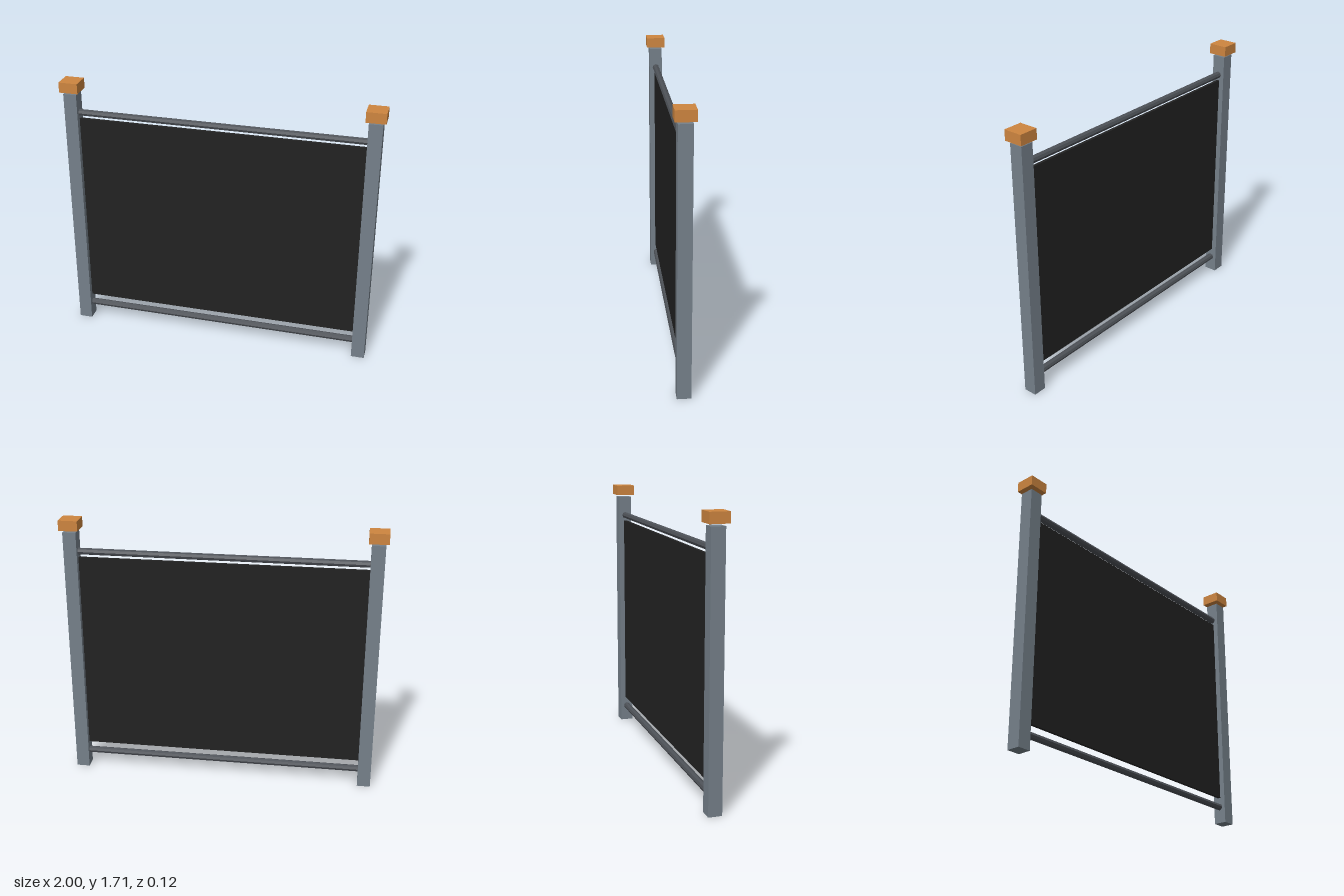
import * as THREE from 'three';

const material = (name, color) => {
  const m = new THREE.MeshStandardMaterial({ color });
  m.name = name;
  return m;
};

export function createModel() {
  const group = new THREE.Group();
  group.name = 'fencePanel';
  const postGrey = material('post grey', 0x75808a);
  const railGrey = material('rail dark grey', 0x4d5157);
  const panelBlack = material('panel black', 0x222222);
  const capWood = material('cap wood', 0xcd853f);

  const add = (name, geometry, mat, x, y) => {
    const mesh = new THREE.Mesh(geometry, mat);
    mesh.name = name;
    mesh.position.set(x, y, 0);
    group.add(mesh);
  };

  // Square posts, each with a cap floating just above its top
  for (const [side, s] of [['left', 1], ['right', -1]]) {
    add(side + 'Post', new THREE.BoxGeometry(0.084, 1.63, 0.084), postGrey, s * 0.94, 0.815);
    add(side + 'Cap', new THREE.BoxGeometry(0.12, 0.065, 0.12), capWood, s * 0.94, 1.677);
  }

  // Faceted horizontal rails
  for (const [name, y] of [['topRail', 1.503], ['bottomRail', 0.107]]) {
    const rail = new THREE.CylinderGeometry(0.0215, 0.0215, 1.8, 8).rotateZ(Math.PI / 2).toNonIndexed();
    rail.computeVertexNormals();
    add(name, rail, railGrey, 0, y);
  }

  // Thin infill sheet between the rails
  add('infillPanel', new THREE.BoxGeometry(1.8, 1.295, 0.018), panelBlack, 0, 0.8175);
  return group;
}
